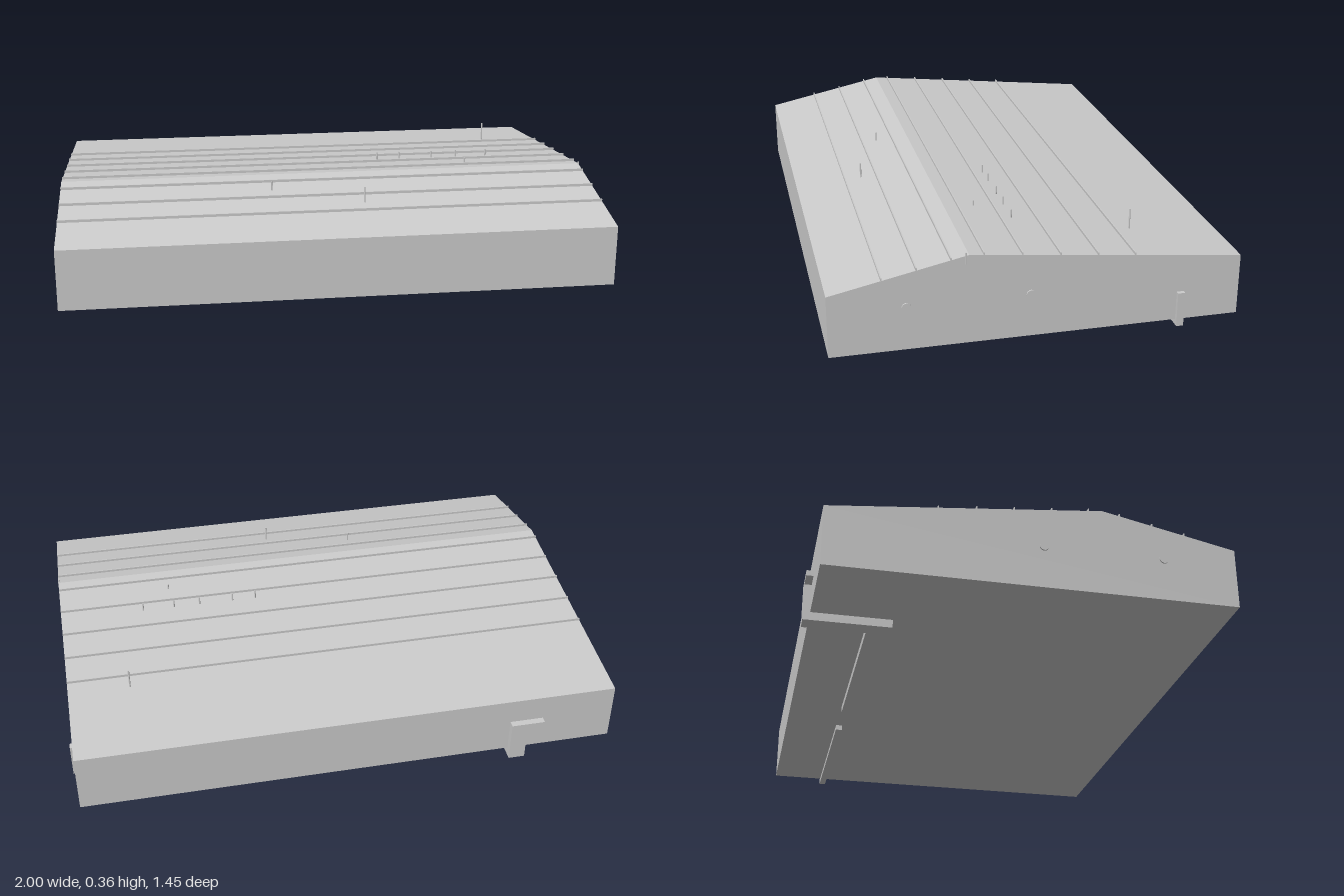
import * as THREE from 'three';

const mat = new THREE.MeshStandardMaterial({ color: 0xcccccc, flatShading: true });
const X0 = -0.99, X1 = 0.985;
const RIDGE = 0.25, FRONT = 0.72, BACK = -0.70;

// Roof height at a given depth
const roofY = z => z > RIDGE
  ? 0.35 - 0.1 * (z - RIDGE) / (FRONT - RIDGE)
  : 0.35 - 0.1 * (RIDGE - z) / (RIDGE - BACK);

export function createModel() {
  const group = new THREE.Group();

  const add = (name, geo, x = 0, y = 0, z = 0) => {
    const mesh = new THREE.Mesh(geo, mat);
    mesh.name = name;
    mesh.position.set(x, y, z);
    group.add(mesh);
    return mesh;
  };
  // Box given by its limits on each axis
  const box = (name, x0, x1, y0, y1, z0, z1) => add(name,
    new THREE.BoxGeometry(x1 - x0, y1 - y0, z1 - z0),
    (x0 + x1) / 2, (y0 + y1) / 2, (z0 + z1) / 2);

  // Body: gable profile swept along x
  const profile = new THREE.Shape([
    [-FRONT, 0.03], [-BACK, 0.03], [-BACK, 0.25], [-RIDGE, 0.35], [-FRONT, 0.25],
  ].map(([u, v]) => new THREE.Vector2(u, v)));
  const body = new THREE.ExtrudeGeometry(profile, { depth: X1 - X0, bevelEnabled: false });
  body.rotateY(Math.PI / 2);
  add('body', body, X0, 0, 0);

  // Thin ribs running along both roof slopes
  for (const z of [-0.32, -0.19, -0.06, 0.07, 0.2, 0.31, 0.425, 0.54]) {
    box('roofRib', X0, X1, roofY(z) - 0.01, roofY(z) + 0.009, z - 0.002, z + 0.002);
  }

  // Slim pins rising through the roof
  const pins = [
    [0.23, 0.03], [0.32, 0.03], [0.45, 0.03], [0.55, 0.03], [0.67, 0.03],
    [0.76, -0.375], [0.11, 0.48], [-0.22, 0.37], [0.56, 0.14], [0.983, 0.26],
  ];
  for (const [x, z] of pins) {
    const y0 = roofY(z) - 0.03;
    add('roofPin', new THREE.CylinderGeometry(0.003, 0.003, 0.358 - y0, 8), x, (0.358 + y0) / 2, z);
  }

  // Small round studs on both gable ends
  for (const x of [X0, X1]) {
    for (const z of [0.04, 0.46]) {
      const stud = new THREE.CylinderGeometry(0.016, 0.016, 0.01, 16);
      stud.rotateZ(Math.PI / 2);
      add('gableStud', stud, x, 0.185, z);
    }
  }

  // Strap under the floor that turns up the gable wall
  box('sideStrapFloor', 0.33, 1.0, 0.01, 0.03, -0.5, -0.475);
  box('sideStrapUpright', X1, 1.0, 0.01, 0.135, -0.5, -0.475);

  // Strap under the floor that turns back and up the rear wall
  box('rearStrapFloor', -0.6, 0.135, 0.003, 0.03, -0.5, -0.46);
  box('rearStrapCorner', -0.655, -0.595, 0, 0.03, -0.725, -0.415);
  box('rearStrapUpright', -0.655, -0.595, 0, 0.155, -0.725, BACK);
  box('rearStrapLip', -0.72, -0.595, 0.135, 0.155, -0.725, BACK);

  return group;
}
